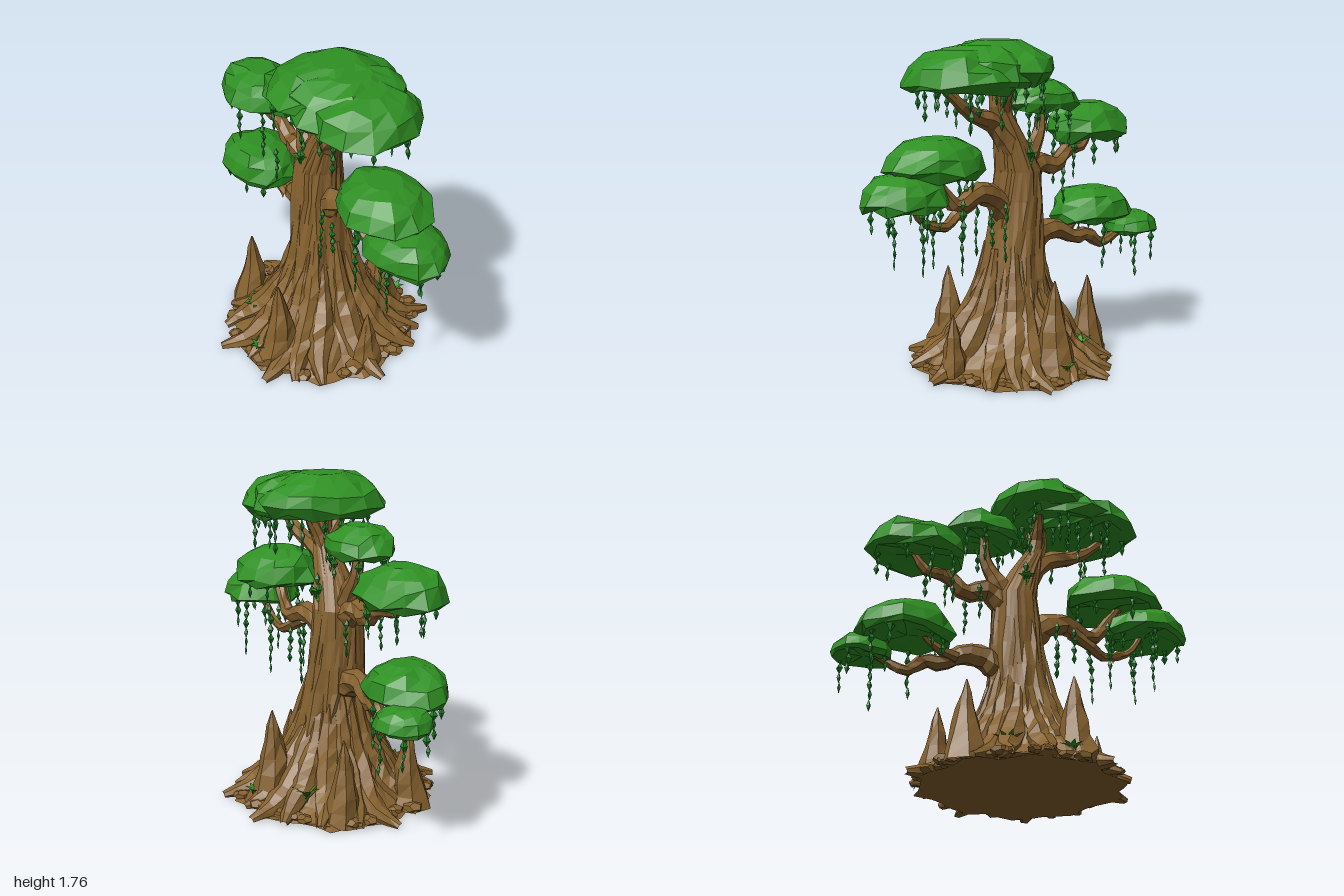
import * as THREE from 'three';

const bark = new THREE.MeshStandardMaterial({ color: 0x86622f, flatShading: true });
const leaf = new THREE.MeshStandardMaterial({ color: 0x2f9023, flatShading: true });
const vine = new THREE.MeshStandardMaterial({ color: 0x23802a, flatShading: true });
const blade = new THREE.MeshStandardMaterial({ color: 0x2f9023, flatShading: true, side: THREE.DoubleSide });

const { smoothstep, lerp, degToRad } = THREE.MathUtils;
const TURN = Math.PI * 2;

// Repeatable noise in -1..1
const noise = (a, b = 0) => {
  const s = Math.sin(a * 12.99 + b * 78.23 + 1.7) * 43758.5;
  return (s - Math.floor(s)) * 2 - 1;
};

// Moves every vertex by a rule
function reshape(geo, rule) {
  const pos = geo.attributes.position;
  const v = new THREE.Vector3();
  for (let i = 0; i < pos.count; i++) {
    v.fromBufferAttribute(pos, i);
    rule(v, i);
    pos.setXYZ(i, v.x, v.y, v.z);
  }
  geo.computeVertexNormals();
  return geo;
}

// Closed stack of rings from top to bottom; place() sets each vertex
function loft(rows, segs, place) {
  return reshape(new THREE.CylinderGeometry(1, 1, 1, segs, rows - 1), (v) => {
    const row = Math.round((0.5 - v.y) * (rows - 1));
    const angle = Math.atan2(v.x, v.z);
    const k = Math.round((angle / TURN) * segs + segs) % segs;
    place(v, row, k, angle, Math.hypot(v.x, v.z));
  });
}

// Tapered, knobbly limb through points, never below the ground
function limb(points, radiusAt, seed) {
  const sides = 7;
  const curve = new THREE.CatmullRomCurve3(points.map((p) => new THREE.Vector3(...p)), false, 'catmullrom', 0.3);
  const n = (points.length - 1) * 3;
  return reshape(new THREE.TubeGeometry(curve, n, 1, sides), (v, i) => {
    const row = Math.floor(i / (sides + 1));
    const k = (i % (sides + 1)) % sides;
    const c = curve.getPointAt(row / n);
    v.sub(c).multiplyScalar(radiusAt(row / n) * (1 + 0.16 * noise(row + seed * 7, k))).add(c);
    v.y = Math.max(v.y, 0);
  });
}

// Fluted trunk that flares at the foot and leans forward at the top
function trunkGeometry() {
  const rows = 15;
  return loft(rows, 40, (v, row, k, angle, rad) => {
    const y = 1.6 * (1 - row / (rows - 1)) ** 1.7;
    const width = (0.11 + 0.2 * Math.exp(-y / 0.12) + 0.2 * Math.exp(-y / 0.5)) * (1 - 0.62 * smoothstep(y, 1, 1.5));
    const flute = 0.03 + 0.07 * Math.exp(-(((y - 0.3) / 0.25) ** 2));
    const r = rad * width * (1 + flute * Math.cos(10 * angle + 0.3 * Math.sin(y * 5)) + 0.055 * noise(k, row));
    const z = 0.14 * smoothstep(y, 1.1, 1.4) - 0.04 * smoothstep(y, 0.3, 1);
    v.set(Math.sin(angle) * r, y, z + Math.cos(angle) * r * lerp(1.02, 0.9, smoothstep(y, 0, 0.5)));
  });
}

// Faceted leaf dome with a ragged rim and a shallow hollow underneath
function crownGeometry(x, z, y, hx, hz, seed) {
  const rows = [[0.36, 1], [0.67, 0.85], [0.88, 0.58], [1, 0.21], [0.86, 0], [0.4, 0.14]];
  return loft(rows.length, 13, (v, row, k, angle, rad) => {
    const [r, h] = rows[row];
    const rr = r * rad * (0.98 + 0.08 * noise(k + seed * 3, row));
    const wave = rad > 0.5 && row > 0 ? 0.1 * noise(k + seed, row + 9) : 0;
    v.set(x + Math.sin(angle) * rr * hx, y + 0.7 * hz * (h + wave), z + Math.cos(angle) * rr * hz);
  });
}

// Leaf dome settings: x, z, bottom, half width, half depth (height follows depth)
const CROWNS = [
  [0, 0.38, 1.51, 0.3, 0.3], [0, 0.1, 1.55, 0.34, 0.3], [0, -0.23, 1.375, 0.18, 0.225], [0, -0.6, 1.19, 0.215, 0.285],
  [0, 0.55, 1.09, 0.25, 0.28], [0, 0.755, 0.95, 0.21, 0.25], [0, -0.64, 0.715, 0.22, 0.265], [0.15, -0.83, 0.635, 0.15, 0.17],
  [0, 0.24, 1.53, 0.335, 0.3],
];

// Branch settings: start radius, end radius, sideways reach, then path as [z, y]
const BRANCHES = [
  [0.09, 0.02, 0, [0, 0.8], [0.12, 0.92], [0.27, 0.975], [0.43, 0.92], [0.6, 1.14]],
  [0.04, 0.015, 0, [0.3, 0.93], [0.42, 0.86], [0.51, 0.82], [0.65, 0.87], [0.74, 1]],
  [0.08, 0.015, 0, [0.02, 1.2], [0.14, 1.33], [0.27, 1.37], [0.4, 1.45], [0.55, 1.58]],
  [0.06, 0.02, 0.13, [0.05, 1.25], [0.09, 1.42], [0.1, 1.6]],
  [0.06, 0.02, -0.13, [0.05, 1.25], [0.08, 1.42], [0.05, 1.6]],
  [0.085, 0.02, 0, [-0.06, 1], [-0.16, 1.18], [-0.21, 1.26], [-0.23, 1.43]],
  [0.085, 0.018, 0, [-0.06, 0.98], [-0.2, 1.08], [-0.32, 1.06], [-0.42, 1.13], [-0.55, 1.14], [-0.63, 1.25]],
  [0.085, 0.015, 0.15, [-0.08, 0.62], [-0.2, 0.69], [-0.31, 0.71], [-0.42, 0.65], [-0.51, 0.66], [-0.61, 0.59], [-0.79, 0.69]],
  [0.035, 0.015, 0, [-0.36, 0.67], [-0.46, 0.7], [-0.58, 0.8]],
];

export function createModel() {
  const model = new THREE.Group();
  model.name = 'ancientTree';
  const group = (name) => {
    const g = new THREE.Group();
    g.name = name;
    model.add(g);
    return g;
  };
  const add = (parent, name, geo, mat) => {
    const m = new THREE.Mesh(geo, mat);
    m.name = name;
    parent.add(m);
    return m;
  };

  add(model, 'trunk', trunkGeometry(), bark);

  // Buttress roots fanned round the foot: angle from the front, length; mirrored left to right
  const roots = group('roots');
  [[0, 0.6], [33, 0.56], [49, 0.55], [65, 0.61], [83, 0.53], [101, 0.61], [118, 0.55], [139, 0.54], [160, 0.56], [180, 0.62]].forEach(([deg, len], i) => {
    for (const s of deg % 180 ? [1, -1] : [1]) {
      const angle = s * degToRad(deg);
      const at = (d, y, turn = 0) => [Math.sin(angle + turn) * d, y, Math.cos(angle + turn) * d];
      const bend = 0.1 * noise(i, s);
      add(roots, 'root', limb([at(0.13, 0.6 + 0.1 * noise(i)), at(0.2, 0.33), at(0.32, 0.13, bend), at(0.45, 0.045, bend), at(len, 0.01)],
        (t) => 0.02 + 0.052 * Math.sin(Math.PI * t ** 1.3), i + s), bark);
    }
  });

  // Tall pointed root spikes: x, z, height
  const spikes = group('rootSpikes');
  [[-0.37, 0.13, 0.5], [0.36, 0.05, 0.525], [0, 0.44, 0.35], [-0.22, -0.39, 0.455], [0.2, -0.39, 0.455]].forEach(([x, z, h], i) => {
    add(spikes, 'rootSpike', limb([[x * 1.04, 0, z], [x * 0.98, h * 0.5, z], [x, h, z]],
      (t) => 0.003 + 0.245 * h * (1 - t) ** 0.85, i + 30), bark);
  });

  // Stones and knobs scattered round the foot
  const stones = group('stones');
  for (let i = 0; i < 30; i++) {
    const a = (i / 30) * TURN + 0.08 * noise(i, 4);
    const d = 0.48 + 0.035 * noise(i, 5);
    const s = add(stones, 'stone', new THREE.DodecahedronGeometry(0.046 + 0.01 * noise(i, 6)), bark);
    s.position.set(Math.sin(a) * d, 0.032, Math.cos(a) * d);
    s.scale.set(1.2, 0.55, 1);
    s.rotation.y = i;
  }

  // Crooked branches
  const branches = group('branches');
  BRANCHES.forEach(([r0, r1, reach, ...path], i) => {
    const points = path.map(([z, y], j) => [reach * (j / (path.length - 1)) ** 1.5 + 0.015 * noise(i, j), y, z]);
    add(branches, 'branch', limb(points, (t) => lerp(r0, r1, t ** 0.75), i + 50), bark);
  });

  // Strand of pointed leaf beads
  const vines = group('hangingVines');
  const bead = new THREE.OctahedronGeometry(1);
  const hang = (x, z, top, length, seed) => {
    const n = Math.max(2, Math.round(length / 0.055));
    const h = length / n;
    for (let j = 0; j < n; j++) {
      const b = add(vines, 'vineLeaf', bead, vine);
      const r = 0.017 * (1.15 - 0.6 * (j / n)) * (1 + 0.3 * noise(seed, j));
      b.position.set(x + 0.005 * noise(j, seed), top - h * (j + 0.5), z + 0.005 * noise(j, seed + 3));
      b.scale.set(r, h * 0.62, r);
      b.rotation.y = j * 0.8;
    }
  };

  // Leaf crowns, each with vines hanging inside its rim
  const crowns = group('leafCrowns');
  CROWNS.forEach((crown, i) => {
    const [x, z, y, hx, hz] = crown;
    add(crowns, 'leafCrown', crownGeometry(...crown, i + 1), leaf);
    const count = Math.round(hz * 25);
    for (let j = 0; j < count; j++) {
      const a = ((j + 0.5) / count) * TURN + 0.25 * noise(i, j);
      const length = 0.11 + 0.2 * noise(j, i + 2) ** 2;
      hang(x + Math.sin(a) * hx * 0.74, z + Math.cos(a) * hz * 0.74, y + 0.04, length, i * 8 + j);
    }
  });

  // Longer vines from the branches: z, top, length; mirrored
  [[0.47, 0.98, 0.4], [0.16, 0.92, 0.32], [0.26, 0.9, 0.2], [0.74, 1, 0.38], [-0.02, 1.25, 0.28], [-0.28, 1.06, 0.2]].forEach(([z, top, length], i) => {
    for (const s of [1, -1]) hang(s * 0.11, z, top, length, i + 90);
  });

  // Ferns at the foot and on the bark: x, y, z, blade length; mirrored
  const ferns = group('ferns');
  [[0.46, 0.04, 0.07, 0.08], [0.31, 0.07, -0.2, 0.11], [0.12, 1.12, -0.02, 0.06]].forEach(([x, y, z, len], i) => {
    const geo = reshape(new THREE.PlaneGeometry(1, 1, 1, 4), (v) => {
      const t = v.y + 0.5;
      v.set(v.x * 0.035 * Math.sin(Math.PI * (0.15 + 0.85 * t)), 1.4 * len * (t - 0.4 * t * t), len * 0.75 * t * t);
    });
    for (const s of [1, -1]) {
      for (let j = 0; j < 7; j++) {
        const b = add(ferns, 'fernBlade', geo, blade);
        b.position.set(s * x, y, z);
        b.rotation.y = (j / 7) * TURN + i;
      }
    }
  });
  return model;
}
